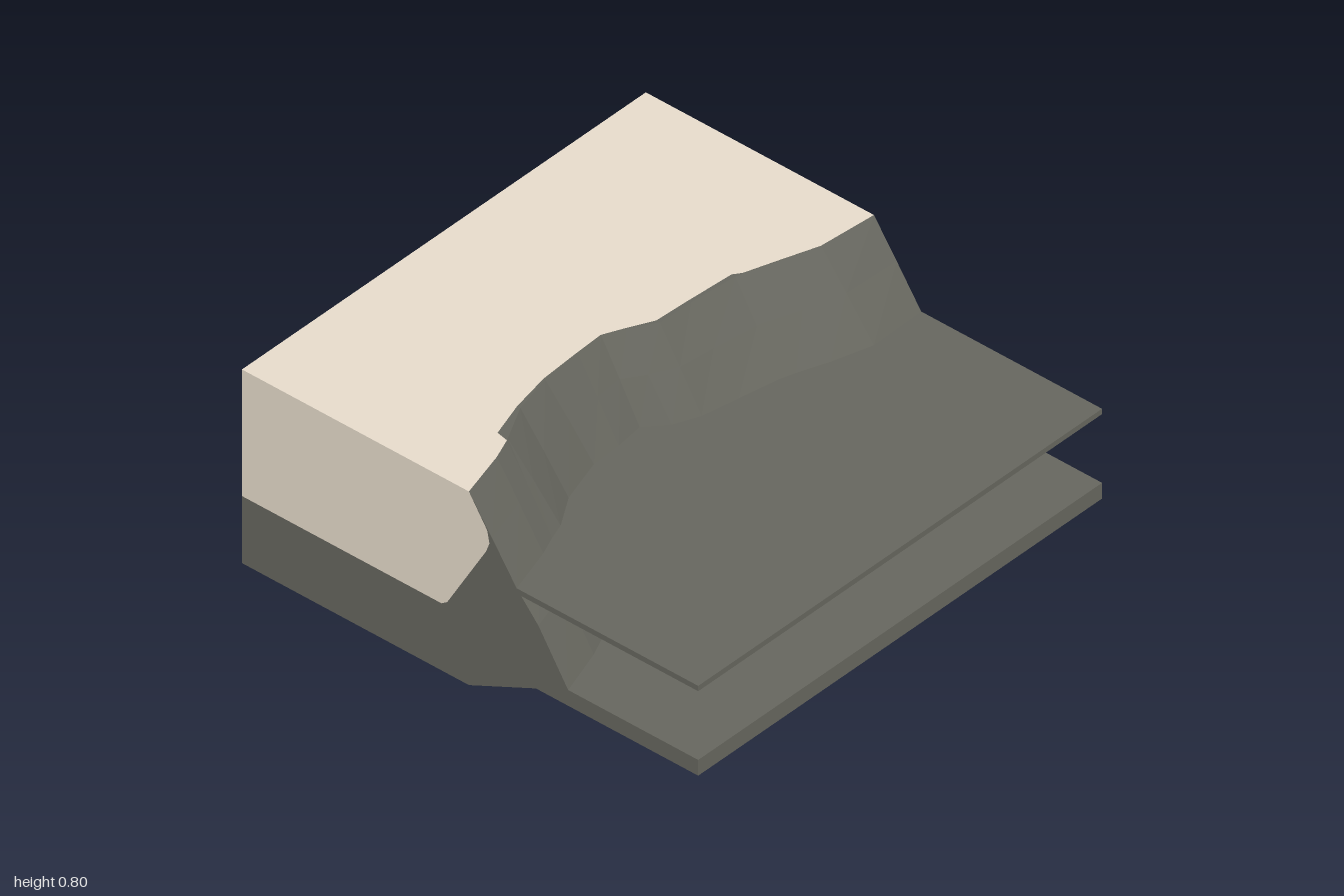
import * as THREE from 'three';

// Cliff folds: rim x, rim z, soil edge z, water line x, water line z, foot x, foot z
const FOLDS = [
  [-1, -0.005, -0.005, -1, 0.205, -1, 0.43],
  [-0.8, -0.06, -0.06, -0.8, 0.145, -0.8, 0.365],
  [-0.71, -0.095, -0.095, -0.72, 0.112, -0.72, 0.33],
  [-0.7, -0.1, -0.145, -0.65, 0.088, -0.6, 0.28],
  [-0.55, -0.178, -0.192, -0.52, 0.008, -0.47, 0.2],
  [-0.38, -0.22, -0.226, -0.33, -0.05, -0.33, 0.17],
  [-0.2, -0.235, -0.237, -0.2, -0.055, -0.26, 0.16],
  [-0.08, -0.24, -0.242, -0.08, -0.07, -0.21, 0.157],
  [0, -0.2, -0.206, 0, 0, -0.18, 0.163],
  [0.1, -0.142, -0.157, 0.1, 0.042, 0.05, 0.225],
  [0.25, -0.137, -0.15, 0.25, 0.07, 0.18, 0.265],
  [0.45, -0.12, -0.137, 0.42, 0.102, 0.39, 0.32],
  [0.48, -0.11, -0.115, 0.48, 0.12, 0.46, 0.335],
  [0.6, -0.07, -0.075, 0.6, 0.165, 0.6, 0.38],
  [0.76, -0.02, -0.02, 0.76, 0.212, 0.76, 0.43],
  [1, 0, 0, 1, 0.208, 1, 0.43],
];
const SOIL_Y = 0.277;

// Boundary between soil and rock on the cut sides, as [z, y], bottom to top
const SEAM = [[-1, SOIL_Y], [-0.125, SOIL_Y], [-0.1, 0.295], [0.07, 0.59], [0.085, 0.63], [0.075, 0.68]];

const mix = THREE.MathUtils.lerp;

// Cliff profile along one fold, as [x, y, z], from the base out to the foot and up to the rim
function cliffSection([rimX, rimZ, soilZ, waterX, waterZ, footX, footZ]) {
  return [
    [rimX, 0, rimZ],
    [footX, 0.2, footZ],
    [mix(waterX, footX, 0.25), 0.4, mix(waterZ, footZ, 0.42)],
    [waterX, 0.505, waterZ],
    [mix(rimX, waterX, 0.5), 0.66, mix(rimZ, waterZ, 0.48)],
    [rimX, 0.8, rimZ], [rimX, 0.8, soilZ],
  ];
}

const soilSection = ([x, , soilZ]) => [[x, 0.8, soilZ], [x, 0.8, -1], [x, SOIL_Y, -1]];
const backSection = ([x]) => [[x, SOIL_Y, -1], [x, 0, -1]];

// Skin joining the sections of neighbouring folds
function skin(sectionAt) {
  const pos = [];
  for (let i = 0; i + 1 < FOLDS.length; i++) {
    const p = sectionAt(FOLDS[i]), q = sectionAt(FOLDS[i + 1]);
    for (let j = 0; j + 1 < p.length; j++) {
      pos.push(...p[j], ...q[j], ...q[j + 1], ...p[j], ...q[j + 1], ...p[j + 1]);
    }
  }
  const g = new THREE.BufferGeometry();
  g.setAttribute('position', new THREE.Float32BufferAttribute(pos, 3));
  g.computeVertexNormals();
  return g;
}

// Flat cut face at x = side, from a [z, y] outline
function cutFace(outline, side) {
  const shape = new THREE.Shape(outline.map(([z, y]) => new THREE.Vector2(-side * z, y)));
  return new THREE.ShapeGeometry(shape).rotateY(side * Math.PI / 2).translate(side, 0, 0);
}

export function createModel() {
  const group = new THREE.Group();
  const rock = new THREE.MeshStandardMaterial({ name: 'darkRock', color: 0x66665e, side: THREE.DoubleSide });
  const soil = new THREE.MeshStandardMaterial({ name: 'paleSoil', color: 0xe6dbcb, side: THREE.DoubleSide });
  const add = (name, geometry, material) => {
    const mesh = new THREE.Mesh(geometry, material);
    mesh.name = name;
    group.add(mesh);
  };

  // Land shell, open underneath: cliff, back wall and soil block
  add('rockCliff', skin(cliffSection), rock);
  add('rockBack', skin(backSection), rock);
  add('soilBlock', skin(soilSection), soil);

  // Cut faces on both sides
  for (const side of [1, -1]) {
    const fold = side > 0 ? FOLDS[FOLDS.length - 1] : FOLDS[0];
    const label = side > 0 ? 'left' : 'right';
    const rim = [fold[1], 0.8];
    const outline = cliffSection(fold).slice(0, -1).map(([, y, z]) => [z, y]);
    add(label + 'RockCut', cutFace([[-1, 0], ...outline, ...SEAM.slice().reverse()], side), rock);
    add(label + 'SoilCut', cutFace([...SEAM, rim, [-1, 0.8]], side), soil);
  }

  // Lower slab, running right through the land shell
  add('lowerSlab', new THREE.BoxGeometry(2, 0.065, 2).translate(0, 0.1675, 0), rock);

  // Thin upper sheet, tucked slightly into the cliff
  const sheet = new THREE.Shape([
    new THREE.Vector2(-1, -1), new THREE.Vector2(1, -1),
    ...FOLDS.slice().reverse().map(([, , , x, z]) => new THREE.Vector2(x, 0.005 - z)),
  ]);
  const sheetGeometry = new THREE.ExtrudeGeometry(sheet, { depth: 0.022, bevelEnabled: false });
  add('upperSheet', sheetGeometry.rotateX(-Math.PI / 2).translate(0, 0.484, 0), rock);

  return group;
}
